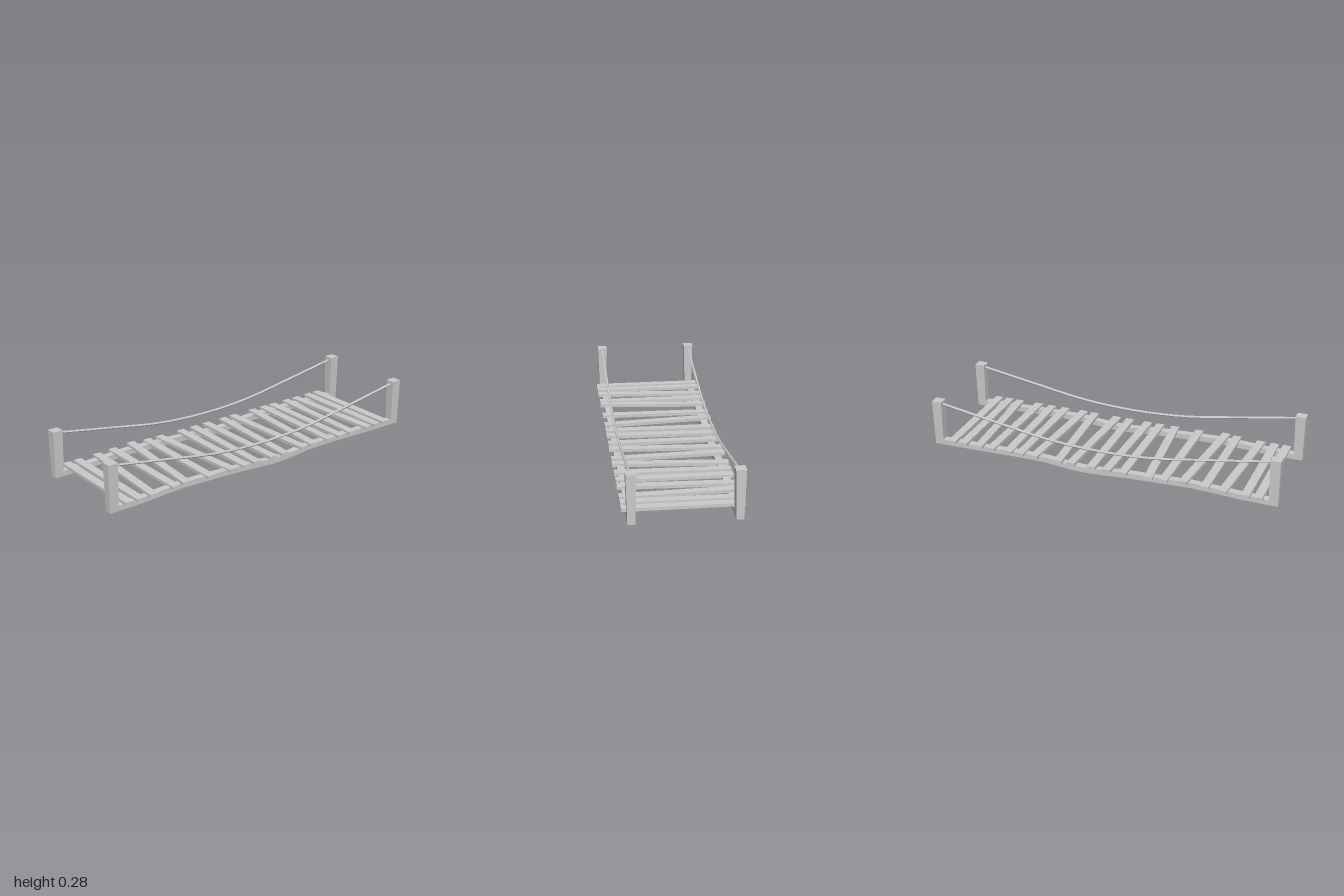
import * as THREE from 'three';

const SIDE_Z = 0.268; // distance of beams, posts and ropes from the centre line

// Plank layout: [x at back end, x at front end, centre height]
const PLANKS = [
  [-0.893, -0.893, 0.049], [-0.824, -0.824, 0.049], [-0.7, -0.745, 0.05],
  [-0.602, -0.605, 0.055], [-0.481, -0.54, 0.061], [-0.374, -0.382, 0.052],
  [-0.289, -0.235, 0.05], [-0.142, -0.145, 0.049], [-0.05, -0.07, 0.049],
  [0.04, 0.043, 0.049], [0.16, 0.123, 0.049], [0.235, 0.262, 0.049],
  [0.38, 0.332, 0.05], [0.465, 0.449, 0.05], [0.537, 0.535, 0.049],
  [0.642, 0.62, 0.049], [0.717, 0.746, 0.049], [0.813, 0.813, 0.049],
  [0.882, 0.882, 0.049],
];

// Underside of the warped side beam: [x, y]
const BEAM = [
  [-0.99, 0.012], [-0.8, 0.014], [-0.67, 0.021], [-0.53, 0.027], [-0.4, 0.023],
  [-0.15, 0.014], [0.04, 0.001], [0.1, 0], [0.17, 0.003], [0.32, 0.018],
  [0.5, 0.019], [0.75, 0.014], [0.99, 0.012],
];

export function createModel() {
  const group = new THREE.Group();
  const material = new THREE.MeshStandardMaterial({ color: 0xcccccc, flatShading: true });
  const add = (geometry, name, x = 0, y = 0, z = 0) => {
    const mesh = new THREE.Mesh(geometry, material);
    mesh.name = name;
    mesh.position.set(x, y, z);
    group.add(mesh);
    return mesh;
  };

  // Loose crosswise planks, each slightly skewed
  for (const [back, front, y] of PLANKS) {
    const dx = front - back;
    const plank = add(new THREE.BoxGeometry(0.047, 0.017, Math.hypot(dx, 0.62)),
      'plank', (back + front) / 2, y, 0);
    plank.rotation.y = Math.atan2(dx, 0.62);
  }

  // Warped beam profile, shared by both sides
  const outline = [
    ...BEAM.map(([x, y]) => new THREE.Vector2(x, y)),
    ...BEAM.map(([x, y]) => new THREE.Vector2(x, y + 0.03)).reverse(),
  ];
  const beam = new THREE.ExtrudeGeometry(new THREE.Shape(outline),
    { depth: 0.04, bevelEnabled: false });
  beam.translate(0, 0, -0.02);

  // Post, narrowing toward its foot
  const post = new THREE.BoxGeometry(0.057, 0.266, 0.054);
  const p = post.attributes.position;
  for (let i = 0; i < p.count; i++) {
    if (p.getY(i) < 0) p.setXYZ(i, p.getX(i) * 0.86, p.getY(i), p.getZ(i) * 0.74);
  }
  post.computeVertexNormals();

  // Sagging rope handrail
  const ropePoints = [[-0.96, 0.26], [-0.6, 0.199], [-0.3, 0.152], [0, 0.137],
    [0.3, 0.152], [0.6, 0.199], [0.96, 0.26]].map(([x, y]) => new THREE.Vector3(x, y, 0));
  const rope = new THREE.TubeGeometry(new THREE.CatmullRomCurve3(ropePoints), 24, 0.007, 6);

  for (const [side, s] of [['front', 1], ['back', -1]]) {
    add(beam, side + 'Beam', 0, 0, s * SIDE_Z);
    add(rope, side + 'Rope', 0, 0, s * SIDE_Z);
    for (const [end, e] of [['Left', 1], ['Right', -1]]) {
      add(post, side + end + 'Post', e * 0.9715, 0.145, s * SIDE_Z);
    }
  }
  return group;
}
